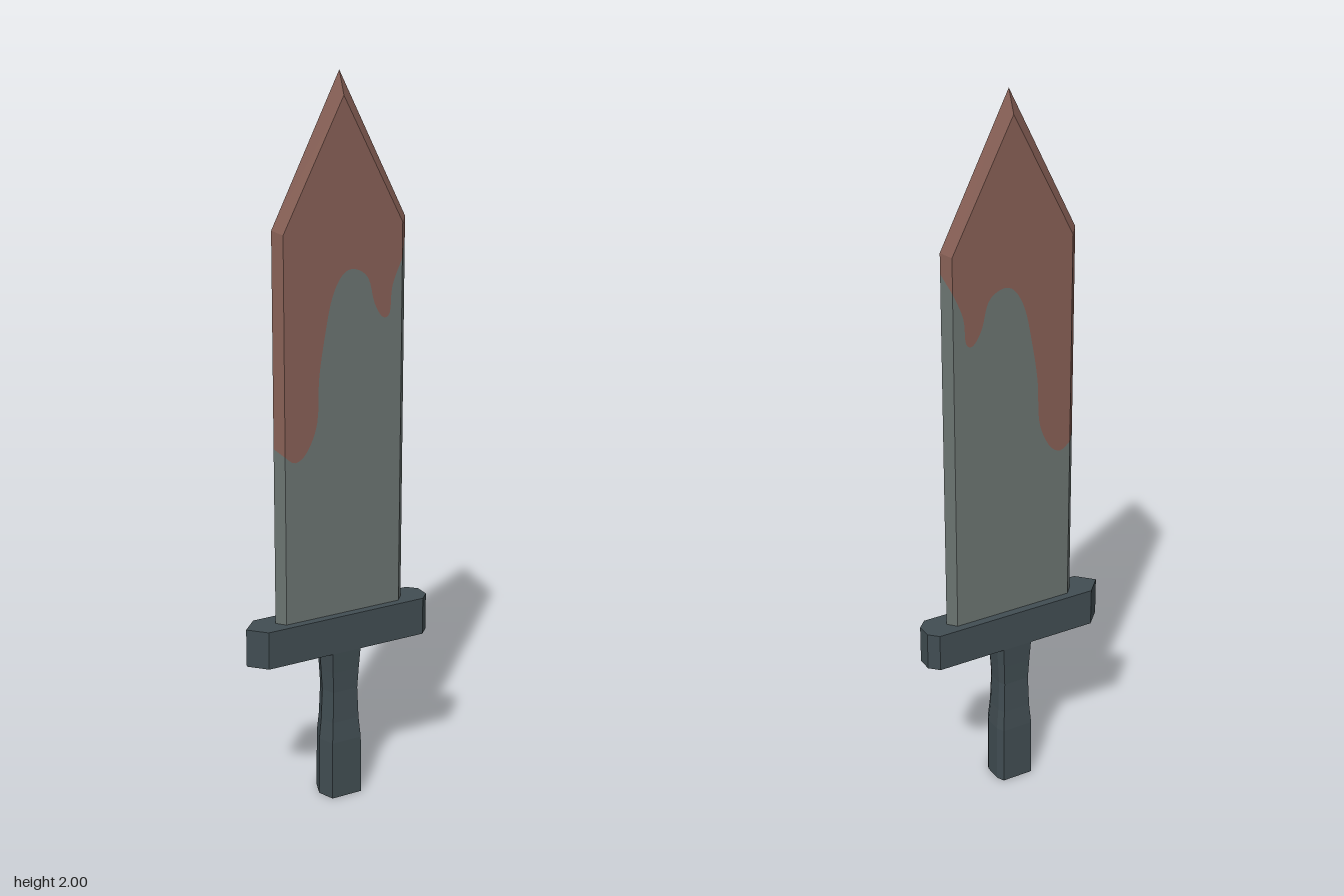
import * as THREE from 'three';

const steel = new THREE.MeshStandardMaterial({ color: 0x6a7370 });
steel.name = 'steel';
const stain = new THREE.MeshStandardMaterial({ color: 0x865f55 });
stain.name = 'rustRed';
const iron = new THREE.MeshStandardMaterial({ color: 0x414d52 });
iron.name = 'darkIron';

// Flat polygon from counter-clockwise [x, y, z] corners, repeated mirrored on the back
function panel(name, corners, material) {
  const outline = corners.map(([x, y]) => new THREE.Vector2(x, y));
  const faces = THREE.ShapeUtils.triangulateShape(outline, []);
  const group = new THREE.Group();
  group.name = name;
  for (const side of [1, -1]) {
    const pos = [];
    for (const [a, b, c] of faces) {
      for (const i of side > 0 ? [a, b, c] : [a, c, b]) {
        const [x, y, z] = corners[i];
        pos.push(x, y, z * side);
      }
    }
    const geo = new THREE.BufferGeometry();
    geo.setAttribute('position', new THREE.Float32BufferAttribute(pos, 3));
    geo.computeVertexNormals();
    const mesh = new THREE.Mesh(geo, material);
    mesh.name = name + (side > 0 ? 'Front' : 'Back');
    group.add(mesh);
  }
  return group;
}

// Upright bar: pointed on its right side, chamfered flat on its left.
// Each level is [height, scale].
function bar(name, plan, levels) {
  const shape = new THREE.Shape(plan.map(([x, z]) => new THREE.Vector2(x, z)));
  const n = levels.length - 1;
  const geo = new THREE.ExtrudeGeometry(shape, { depth: n, steps: n, bevelEnabled: false });
  geo.rotateX(-Math.PI / 2);
  const p = geo.attributes.position;
  for (let i = 0; i < p.count; i++) {
    const [y, s] = levels[Math.round(p.getY(i))];
    p.setXYZ(i, 0.005 + (p.getX(i) - 0.005) * s, y, p.getZ(i) * s);
  }
  geo.computeVertexNormals();
  const mesh = new THREE.Mesh(geo, iron);
  mesh.name = name;
  return mesh;
}

function createModel() {
  const model = new THREE.Group();
  model.name = 'sword';

  // Blade: flat inner faces, bevels running out to a sharp edge at z = 0
  const Z = 0.024, base = 0.5;
  const inL = -0.165, inR = 0.182, outL = -0.186, outR = 0.203, mid = 0.008;
  const inShoulder = 1.605, outShoulder = 1.615, inTip = 1.94, tip = 2;
  const stainL = 1.02, stainR = 1.51, stainOutR = 1.56;

  // Dripping border between stain and bare steel
  const drip = new THREE.SplineCurve([
    [inL, stainL], [-0.135, 1.0], [-0.1, 1.025], [-0.07, 1.1], [-0.064, 1.22],
    [-0.045, 1.34], [-0.025, 1.43], [0.005, 1.485], [0.04, 1.497], [0.08, 1.47],
    [0.1, 1.4], [0.125, 1.36], [0.146, 1.37], [0.153, 1.44], [inR, stainR],
  ].map(([x, y]) => new THREE.Vector2(x, y))).getPoints(56).map((v) => [v.x, v.y, Z]);

  const blade = new THREE.Group();
  blade.name = 'blade';
  blade.add(
    panel('bladeFace', [[inL, base, Z], [inR, base, Z], ...drip.slice().reverse()], steel),
    panel('stainedFace', [...drip, [inR, inShoulder, Z], [mid, inTip, Z], [inL, inShoulder, Z]], stain),
    // Right bevel
    panel('rightBevel', [[outL, base, 0], [inL, base, Z], [inL, stainL, Z], [outL, 1.04, 0]], steel),
    panel('stainedRightBevel', [[outL, 1.04, 0], [inL, stainL, Z], [inL, inShoulder, Z], [outL, outShoulder, 0]], stain),
    // Left bevel
    panel('leftBevel', [[inR, base, Z], [outR, base, 0], [outR, stainOutR, 0], [inR, stainR, Z]], steel),
    panel('stainedLeftBevel', [[inR, stainR, Z], [outR, stainOutR, 0], [outR, outShoulder, 0], [inR, inShoulder, Z]], stain),
    // Tip bevels
    panel('rightTipBevel', [[outL, outShoulder, 0], [inL, inShoulder, Z], [mid, inTip, Z], [mid, tip, 0]], stain),
    panel('leftTipBevel', [[inR, inShoulder, Z], [outR, outShoulder, 0], [mid, tip, 0], [mid, inTip, Z]], stain),
  );
  model.add(blade);

  // Crossguard
  model.add(bar('crossguard', [
    [-0.274, 0], [-0.23, -0.046], [0.248, -0.046], [0.273, -0.021],
    [0.273, 0.021], [0.248, 0.046], [-0.23, 0.046],
  ], [[0.44, 1], [0.547, 1]]));

  // Grip, waisted in the middle
  model.add(bar('grip', [
    [-0.055, 0], [-0.038, -0.047], [0.053, -0.047], [0.063, -0.025],
    [0.063, 0.025], [0.053, 0.047], [-0.038, 0.047],
  ], [[0, 1], [0.17, 0.98], [0.23, 0.88], [0.32, 0.82], [0.38, 0.88], [0.445, 0.96]]));

  return model;
}

export { createModel };
